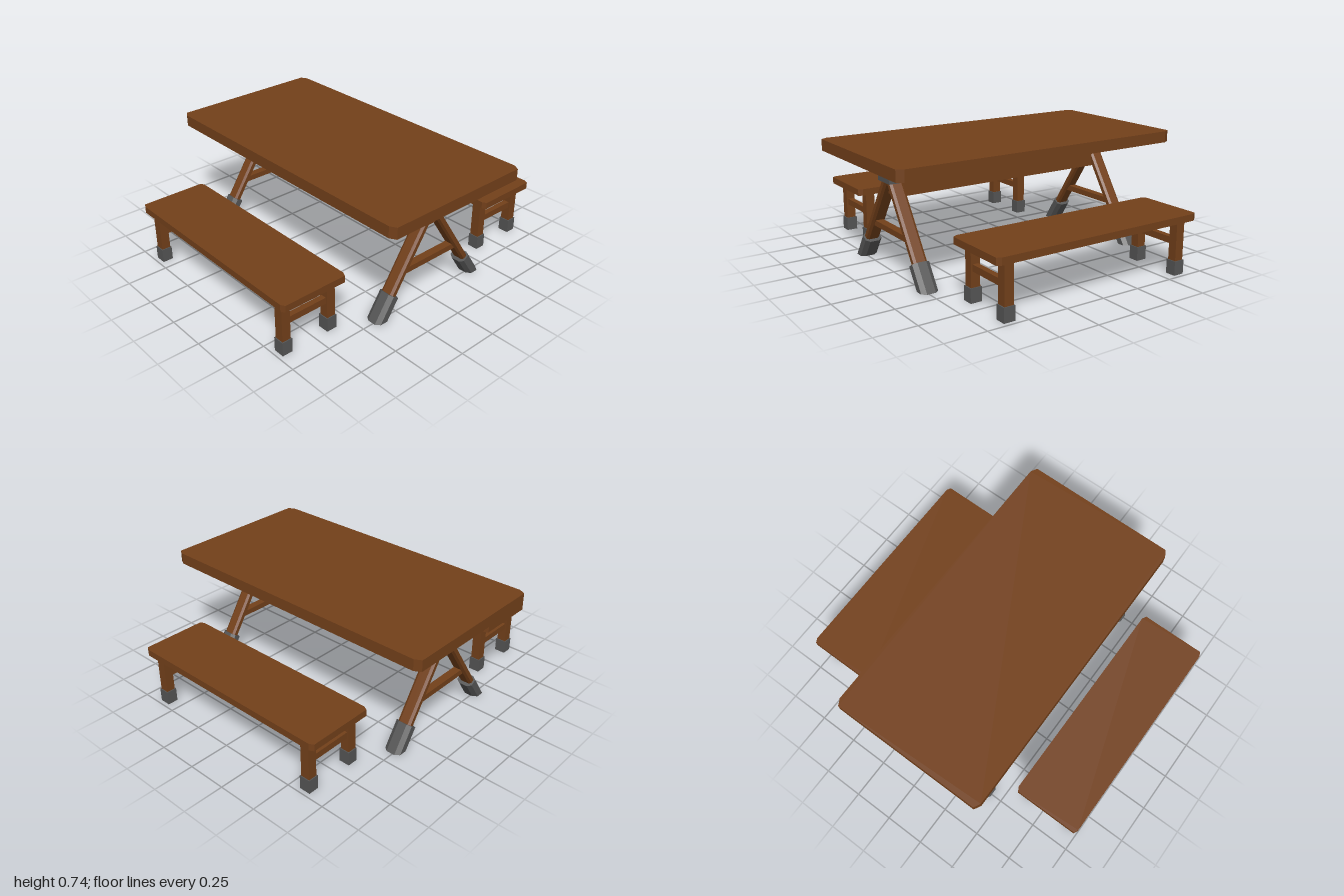
import * as THREE from 'three';

const wood = new THREE.MeshStandardMaterial({ color: 0x73401a, flatShading: true });
const metal = new THREE.MeshStandardMaterial({ color: 0x555555, flatShading: true });

// Upright prism on y = 0 with a rectangular plan whose corners are cut by cx, cz
function prism(w, d, h, cx = 0, cz = cx) {
  const a = w / 2, b = d / 2;
  const points = cx
    ? [[a, -b + cz], [a, b - cz], [a - cx, b], [-a + cx, b], [-a, b - cz], [-a, -b + cz], [-a + cx, -b], [a - cx, -b]]
    : [[a, -b], [a, b], [-a, b], [-a, -b]];
  const shape = new THREE.Shape(points.map(([x, z]) => new THREE.Vector2(x, z)));
  return new THREE.ExtrudeGeometry(shape, { depth: h, bevelEnabled: false }).rotateX(-Math.PI / 2);
}

function add(parent, name, geometry, material, x = 0, y = 0, z = 0) {
  const mesh = new THREE.Mesh(geometry, material);
  mesh.name = name;
  mesh.position.set(x, y, z);
  parent.add(mesh);
  return mesh;
}

function createTable() {
  const table = new THREE.Group();
  table.name = 'table';
  add(table, 'tableTop', prism(1.92, 1, 0.07, 0.04, 0.022), wood, 0, 0.67);
  add(table, 'longBeam', prism(1.48, 0.11, 0.088), wood, 0, 0.465);

  const lean = Math.atan(0.66);
  const legGeometry = prism(0.085, 0.045, 0.58, 0.015, 0.01).translate(0, 0.09, 0).rotateX(-lean);

  // Foot sleeve follows the leg, its lower end cut level with the ground
  const sleeve = prism(0.107, 0.077, 0.165, 0.026, 0.018);
  const p = sleeve.attributes.position;
  for (let i = 0; i < p.count; i++) {
    if (p.getY(i) < 0.01) p.setY(i, (0.004 - p.getZ(i) * Math.sin(lean)) / Math.cos(lean));
  }
  sleeve.rotateX(-lean);
  sleeve.computeVertexNormals();

  // Bracket under the top, slightly narrower lengthwise at its base
  const bracket = prism(0.12, 0.13, 0.12);
  const q = bracket.attributes.position;
  for (let i = 0; i < q.count; i++) {
    if (q.getY(i) < 0.01) {
      q.setX(i, q.getX(i) * 0.91);
      q.setZ(i, q.getZ(i) * 1.08);
    }
  }
  bracket.computeVertexNormals();

  for (const side of [-1, 1]) {
    const trestle = new THREE.Group();
    trestle.name = side > 0 ? 'leftTrestle' : 'rightTrestle';
    trestle.position.x = side * 0.74;
    table.add(trestle);
    add(trestle, 'bracket', bracket, metal, 0, 0.55);
    add(trestle, 'crossbar', prism(0.05, 0.42, 0.035), wood, 0, 0.237);
    for (const turn of [0, Math.PI]) {
      const leg = new THREE.Group();
      leg.name = turn ? 'backLeg' : 'frontLeg';
      leg.rotation.y = turn;
      trestle.add(leg);
      add(leg, 'legPost', legGeometry, wood, 0, 0, 0.393);
      add(leg, 'legFoot', sleeve, metal, 0, 0, 0.387);
    }
  }
  return table;
}

function createBench(name, z) {
  const bench = new THREE.Group();
  bench.name = name;
  bench.position.z = z;
  add(bench, 'seat', prism(1.38, 0.428, 0.042, 0.026, 0.014), wood, 0, 0.323);
  for (const x of [-0.6, 0.6]) {
    add(bench, 'benchCrossbar', prism(0.036, 0.28, 0.04), wood, x, 0.178);
    for (const dz of [-0.155, 0.155]) {
      add(bench, 'benchLeg', prism(0.058, 0.055, 0.29), wood, x, 0.04, dz);
      add(bench, 'benchFoot', prism(0.07, 0.066, 0.086), metal, x, 0, dz);
    }
  }
  return bench;
}

export function createModel() {
  const model = new THREE.Group();
  model.name = 'picnicTableSet';
  model.add(createTable(), createBench('frontBench', 0.786), createBench('backBench', -0.786));
  return model;
}
